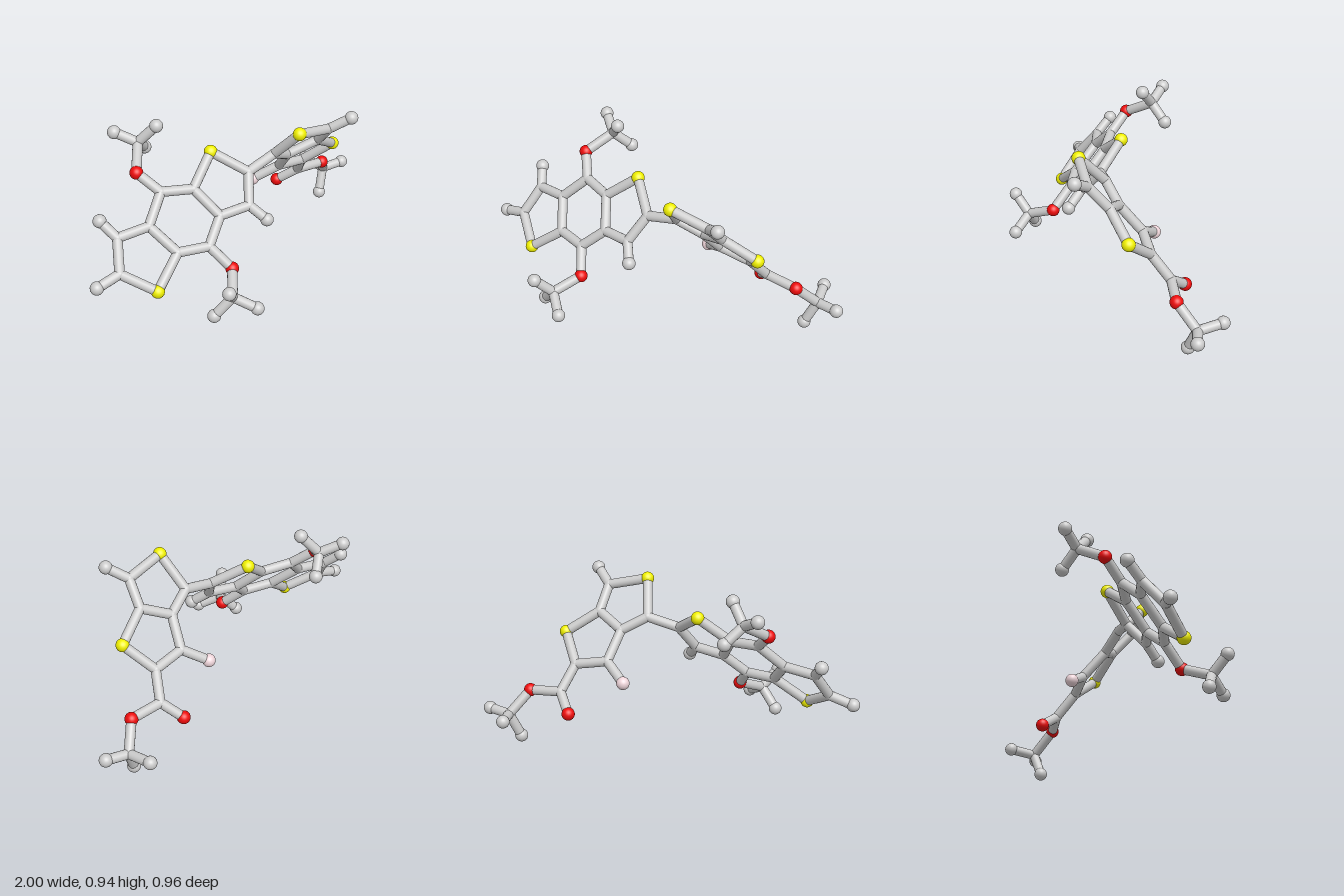
import * as THREE from 'three';

const BALL = 0.035, JOINT = 0.027, ROD = 0.026;

const material = (color) => new THREE.MeshStandardMaterial({ color });
const grey = material(0xcccccc);
const materials = {
  carbon: grey, end: grey,
  sulfur: material(0xf0f000), oxygen: material(0xee0c0c), fluorine: material(0xeed5da),
};

// Atoms by section: key -> [kind, x, y, z]
const sections = {
  fusedRings: {
    s1: ['sulfur', -0.72, 0.245, 0.083], a: ['carbon', -0.84, 0.345, -0.06],
    b: ['carbon', -0.767, 0.484, -0.147], c: ['carbon', -0.605, 0.5, -0.09],
    d: ['carbon', -0.545, 0.377, 0.05], e: ['carbon', -0.473, 0.623, -0.137],
    f: ['carbon', -0.323, 0.607, -0.055], g: ['carbon', -0.27, 0.479, 0.08],
    h: ['carbon', -0.393, 0.372, 0.122], s2: ['sulfur', -0.155, 0.738, -0.095],
    i: ['carbon', -0.035, 0.628, 0.058], j: ['carbon', -0.115, 0.495, 0.138],
    endA: ['end', -0.965, 0.31, -0.09], endB: ['end', -0.8, 0.56, -0.235],
    endJ: ['end', -0.07, 0.423, 0.222],
  },
  upperBranch: {
    o1: ['oxygen', -0.532, 0.716, -0.247], u: ['carbon', -0.418, 0.802, -0.355],
    u1: ['end', -0.355, 0.9, -0.28], u2: ['end', -0.33, 0.718, -0.403],
    u3: ['end', -0.495, 0.857, -0.445],
  },
  lowerBranch: {
    o2: ['oxygen', -0.345, 0.265, 0.236], v: ['carbon', -0.457, 0.202, 0.346],
    v1: ['end', -0.537, 0.293, 0.4], v2: ['end', -0.537, 0.1, 0.293],
    v3: ['end', -0.38, 0.14, 0.445],
  },
  doubleRing: {
    k: ['carbon', 0.136, 0.67, 0.08], s3: ['sulfur', 0.163, 0.835, 0.23],
    l: ['carbon', 0.377, 0.785, 0.246], m: ['carbon', 0.41, 0.665, 0.145],
    n: ['carbon', 0.275, 0.597, 0.053], s4: ['sulfur', 0.587, 0.553, 0.104],
    o: ['carbon', 0.505, 0.425, -0.04], p: ['carbon', 0.33, 0.457, -0.056],
    endL: ['end', 0.452, 0.852, 0.333], fl: ['fluorine', 0.227, 0.378, -0.154],
  },
  sideChain: {
    q: ['carbon', 0.57, 0.297, -0.127], o3: ['oxygen', 0.507, 0.215, -0.226],
    o4: ['oxygen', 0.744, 0.282, -0.092], w: ['carbon', 0.847, 0.165, -0.166],
    w1: ['end', 0.963, 0.176, -0.122], w2: ['end', 0.84, 0.18, -0.303],
    w3: ['end', 0.79, 0.035, -0.141],
  },
};

// Chains of atoms joined one after another by rods
const chains = [
  's1 a b c d s1', 'c e f g h d', 'f s2 i j g', 'a endA', 'b endB', 'j endJ',
  'e o1 u u1', 'u2 u u3', 'h o2 v v1', 'v2 v v3',
  'i k s3 l m n k', 'm s4 o p n', 'l endL', 'p fl',
  'o q o3', 'q o4 w w1', 'w2 w w3',
];

export function createModel() {
  const model = new THREE.Group();
  model.name = 'stickMolecule';
  const ballGeometry = new THREE.SphereGeometry(1, 24, 16);
  const rodGeometry = new THREE.CylinderGeometry(ROD, ROD, 1, 16);
  const at = {}, home = {};

  // Balls: small joints inside, larger ones at ends and coloured atoms
  for (const [sectionName, atoms] of Object.entries(sections)) {
    const group = new THREE.Group();
    group.name = sectionName;
    model.add(group);
    for (const [key, [kind, x, y, z]] of Object.entries(atoms)) {
      const ball = new THREE.Mesh(ballGeometry, materials[kind]);
      ball.name = kind === 'carbon' ? 'joint' : kind + 'Ball';
      ball.position.set(x, y, z);
      ball.scale.setScalar(kind === 'carbon' ? JOINT : BALL);
      group.add(ball);
      at[key] = ball.position;
      home[key] = group;
    }
  }

  // Rods between neighbouring balls
  const up = new THREE.Vector3(0, 1, 0);
  for (const chain of chains) {
    const keys = chain.split(' ');
    for (let n = 1; n < keys.length; n++) {
      const from = at[keys[n - 1]], to = at[keys[n]];
      const direction = to.clone().sub(from);
      const rod = new THREE.Mesh(rodGeometry, grey);
      rod.name = 'rod';
      rod.position.copy(from).add(to).multiplyScalar(0.5);
      rod.scale.y = direction.length();
      rod.quaternion.setFromUnitVectors(up, direction.normalize());
      home[keys[n]].add(rod);
    }
  }
  return model;
}
